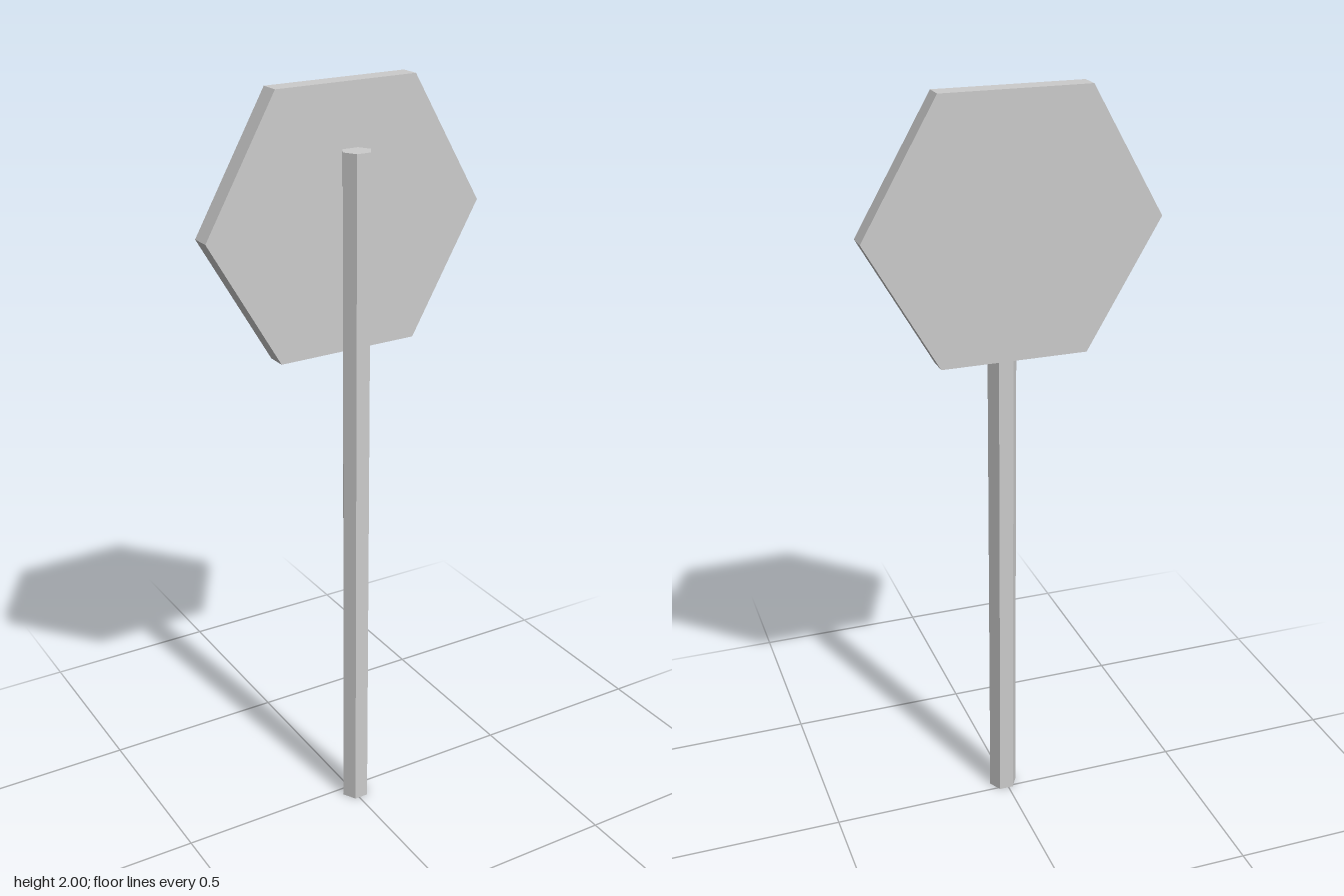
import * as THREE from 'three';

const material = new THREE.MeshStandardMaterial({ color: 0xcccccc, flatShading: true });

// Six-sided prism along y with corners pointing to +x and -x
function hexPrism(name, radius, length) {
  const geometry = new THREE.CylinderGeometry(radius, radius, length, 6, 1, false, Math.PI / 2);
  const mesh = new THREE.Mesh(geometry, material);
  mesh.name = name;
  return mesh;
}

export function createModel() {
  const model = new THREE.Group();
  model.name = 'signpost';

  // Upright post, standing in front of the plate
  const post = hexPrism('post', 0.0385, 1.842);
  post.position.set(0.0065, 0.921, 0.026);
  model.add(post);

  // Hexagonal plate, turned upright and very slightly askew
  const plate = hexPrism('signPlate', 0.384, 0.053);
  plate.geometry.rotateX(Math.PI / 2);
  plate.rotation.set(0, 0.017, 0.005);
  plate.position.set(-0.001, 1.667, -0.03);
  model.add(plate);

  return model;
}
